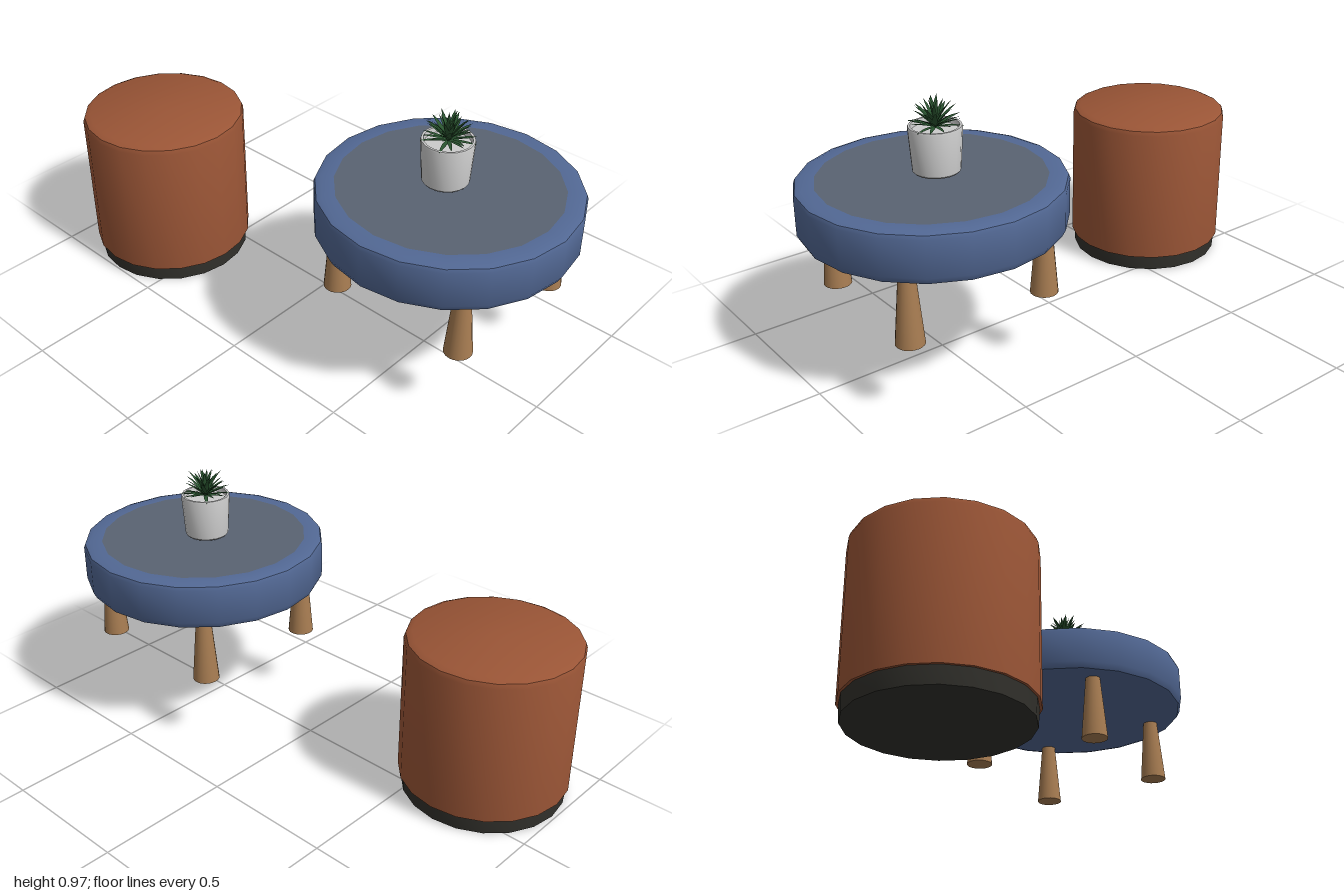
import * as THREE from 'three';
import { toCreasedNormals } from 'three/addons/utils/BufferGeometryUtils.js';

const material = (color, side = THREE.FrontSide) => new THREE.MeshStandardMaterial({ color, side });

function part(parent, name, geometry, mat, x = 0, y = 0, z = 0) {
  const mesh = new THREE.Mesh(geometry, mat);
  mesh.name = name;
  mesh.position.set(x, y, z);
  parent.add(mesh);
  return mesh;
}

function group(parent, name, x, y, z) {
  const g = new THREE.Group();
  g.name = name;
  g.position.set(x, y, z);
  parent.add(g);
  return g;
}

// Round solid from [radius, height] pairs, listed bottom to top
function turned(points, sides = 20) {
  const lathe = new THREE.LatheGeometry(points.map(([r, y]) => new THREE.Vector2(r, y)), sides);
  return toCreasedNormals(lathe, 0.6);
}

// Pointed leaf growing along +y, cupped across and curling towards +z
function leafGeometry(length, width, curl) {
  const g = new THREE.PlaneGeometry(2, 1, 2, 5);
  const p = g.attributes.position;
  for (let i = 0; i < p.count; i++) {
    const t = p.getY(i) + 0.5;
    const s = p.getX(i);
    const half = width * 0.5 * Math.min(1, 0.5 + 1.5 * t) * Math.sqrt(1 - t);
    p.setXYZ(i, s * half, t * length, curl * t * t * length + Math.abs(s) * half * -0.35);
  }
  g.computeVertexNormals();
  return g;
}

export function createModel() {
  const model = new THREE.Group();
  model.name = 'tableAndStool';

  // Upholstered stool on a dark plinth
  const stool = group(model, 'stool', -0.193, 0, -0.688);
  part(stool, 'stoolBase', turned([[0, 0], [0.3, 0], [0.304, 0.06], [0, 0.06]]), material(0x32312c));
  part(stool, 'stoolSeat', turned([
    [0, 0.06], [0.313, 0.06], [0.313, 0.592], [0.307, 0.609], [0.285, 0.62], [0, 0.62],
  ]), material(0x9a5536));

  // Round table with a padded rim and inset top
  const table = group(model, 'table', 0.04, 0, 0.535);
  part(table, 'tableRim', turned([
    [0, 0.518], [0.425, 0.518], [0.453, 0.527], [0.465, 0.55],
    [0.465, 0.68], [0.46, 0.693], [0.44, 0.7], [0.395, 0.7], [0.395, 0.695], [0, 0.695],
  ]), material(0x526894));
  part(table, 'tableTop', turned([[0.395, 0.7], [0, 0.7]]), material(0x596372));

  // Tapered wooden legs
  const legGeometry = new THREE.CylinderGeometry(0.028, 0.05, 0.25, 20);
  const wood = material(0xa87d52);
  const legs = { frontLeft: [0.3, 0.81], backLeft: [0.3, 0.262], frontRight: [-0.207, 0.792], backRight: [-0.22, 0.262] };
  for (const [name, [x, z]] of Object.entries(legs)) {
    part(model, name + 'Leg', legGeometry, wood, x, 0.397, z);
  }

  // Plant pot
  const plant = group(model, 'pottedPlant', 0.04, 0.71, 0.516);
  part(plant, 'pot', turned([
    [0, 0], [0.078, 0], [0.083, 0.006], [0.093, 0.157], [0.091, 0.163],
    [0.083, 0.163], [0.08, 0.145], [0, 0.145],
  ]), material(0xcccccc));

  // Rosette of leaves: [count, tilt from upright, length, width, curl]
  const leaves = group(plant, 'leaves', 0, 0.155, 0);
  const green = material(0x2a5530, THREE.DoubleSide);
  const rings = [
    [5, 0.12, 0.108, 0.024, 0.1],
    [8, 0.38, 0.108, 0.024, 0.15],
    [10, 0.68, 0.104, 0.024, 0.15],
    [11, 1.0, 0.1, 0.022, 0.15],
    [12, 1.32, 0.096, 0.02, 0.1],
  ];
  rings.forEach(([count, tilt, length, width, curl], r) => {
    const geometry = leafGeometry(length, width, curl);
    for (let i = 0; i < count; i++) {
      const vary = Math.sin(i * 2.4 + r * 1.7);
      const leaf = part(leaves, 'leaf', geometry, green);
      leaf.rotation.set(tilt + vary * 0.1, ((i + r * 0.37) / count) * Math.PI * 2 + vary * 0.12, 0, 'YXZ');
      leaf.scale.setScalar(0.97 + vary * 0.07);
    }
  });

  return model;
}
